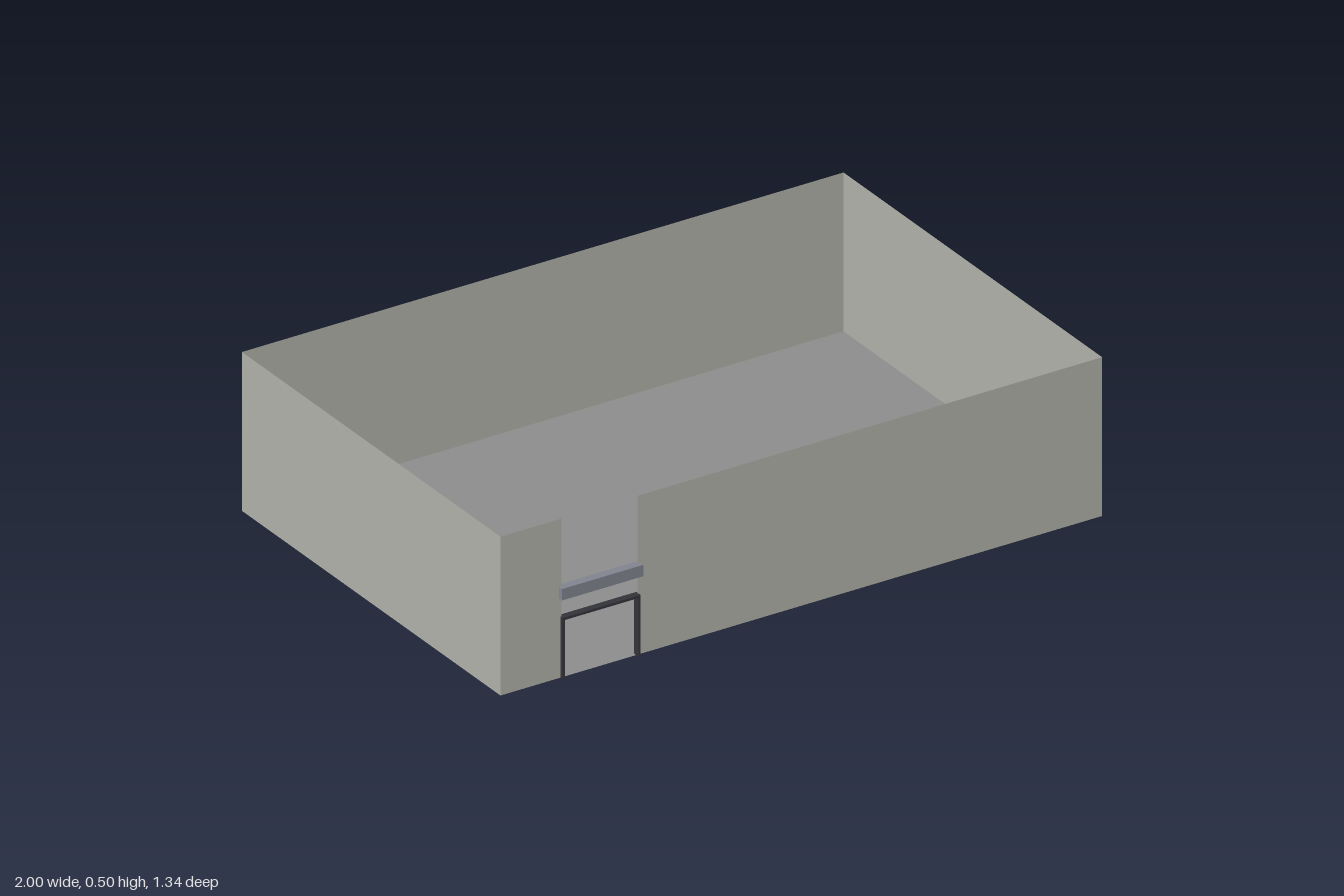
import * as THREE from 'three';

const paint = (color) => new THREE.MeshStandardMaterial({ color, side: THREE.DoubleSide });

export function createModel() {
  const model = new THREE.Group();
  const wallMat = paint(0xb0b0a8);
  const floorMat = paint(0x8c8c8c);
  const trimMat = paint(0x33333a);
  const barMat = paint(0x80838f);

  const H = 0.5, back = -0.672, front = 0.658;
  const depth = front - back, midZ = (front + back) / 2;
  const doorL = -0.797, doorR = -0.545;

  function add(name, geometry, material, x, y, z) {
    const mesh = new THREE.Mesh(geometry, material);
    mesh.name = name;
    mesh.position.set(x, y, z);
    model.add(mesh);
    return mesh;
  }
  const box = (name, mat, x0, x1, y0, y1, z0, z1) =>
    add(name, new THREE.BoxGeometry(x1 - x0, y1 - y0, z1 - z0), mat,
      (x0 + x1) / 2, (y0 + y1) / 2, (z0 + z1) / 2);

  // Floor
  add('floor', new THREE.PlaneGeometry(2, depth), floorMat, 0, 0, midZ).rotation.x = -Math.PI / 2;

  // Thin walls: back, two sides, and a front split by the doorway
  add('backWall', new THREE.PlaneGeometry(2, H), wallMat, 0, H / 2, back).rotation.y = Math.PI;
  for (const [name, s] of [['leftWall', 1], ['rightWall', -1]])
    add(name, new THREE.PlaneGeometry(depth, H), wallMat, s, H / 2, midZ).rotation.y = s * Math.PI / 2;
  for (const [name, x0, x1] of [['frontWallShort', -1, doorL], ['frontWallLong', doorR, 1]])
    add(name, new THREE.PlaneGeometry(x1 - x0, H), wallMat, (x0 + x1) / 2, H / 2, front);

  // Door frame: two posts and a lintel
  const t = 0.008, z0 = 0.647, z1 = 0.669, top = 0.192;
  box('doorPostRight', trimMat, doorL - t / 2, doorL + t / 2, 0, top, z0, z1);
  box('doorPostLeft', trimMat, doorR - t / 2, doorR + t / 2, 0, top, z0, z1);
  box('doorLintel', trimMat, doorL + t / 2, doorR - t / 2, top - t, top, z0, z1);

  // Sign bar across the opening
  box('signBar', barMat, -0.805, -0.533, 0.25, 0.286, 0.644, 0.672);

  return model;
}
